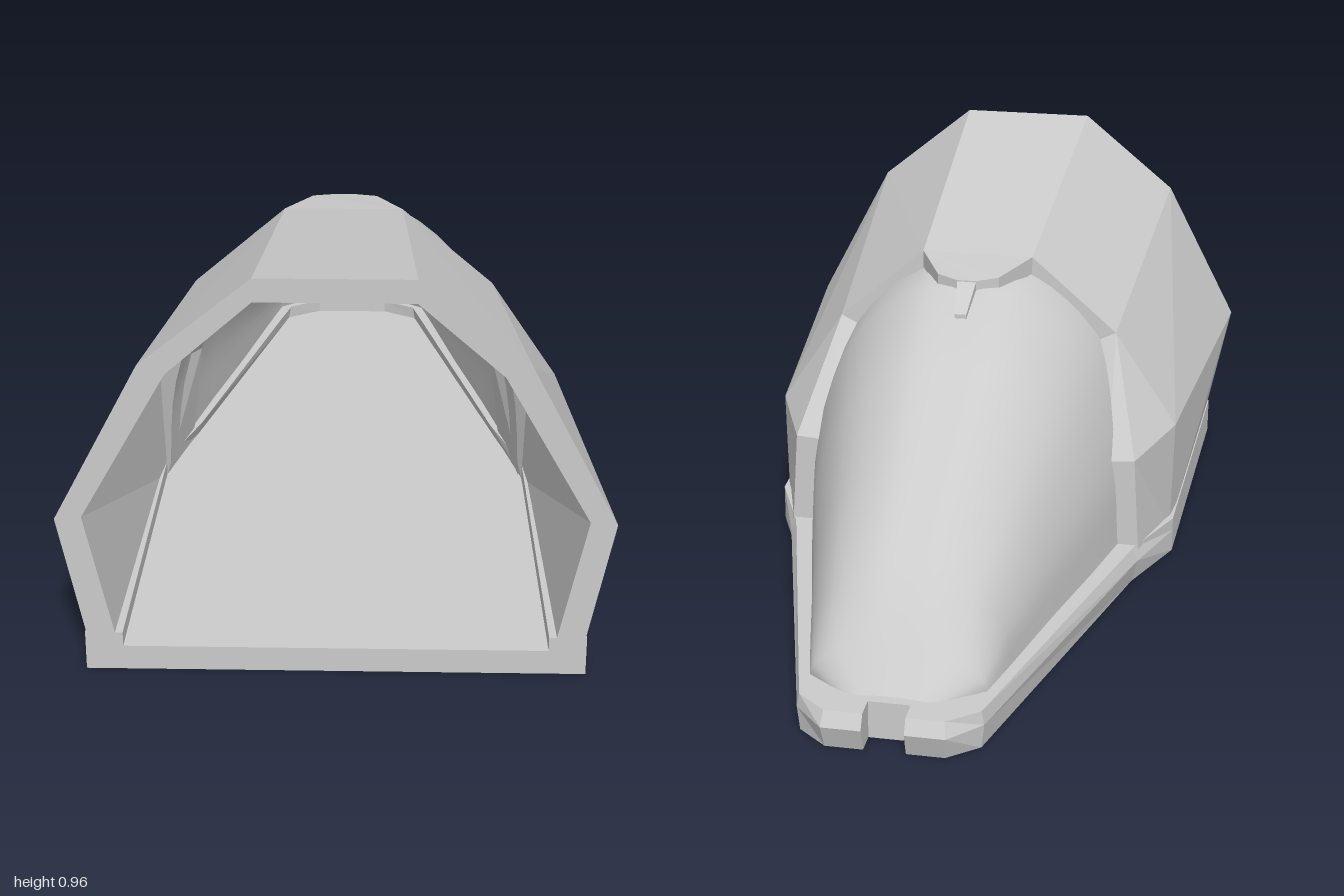
import * as THREE from 'three';

const grey = (flat) => new THREE.MeshStandardMaterial({ color: 0xcccccc, flatShading: flat, side: THREE.DoubleSide });
const mirror = (pts) => pts.map(([x, y, z]) => [-x, y, z]);

// Closed plate between an outer and an inner polygon, faces turned outward
function plate(name, outer, inner) {
  const n = outer.length;
  const o = outer.map((p) => new THREE.Vector3(...p));
  const q = inner.map((p) => new THREE.Vector3(...p));
  const mid = new THREE.Vector3();
  [...o, ...q].forEach((p) => mid.addScaledVector(p, 1 / (2 * n)));
  const out = [];
  const tri = (a, b, c) => {
    const normal = b.clone().sub(a).cross(c.clone().sub(a));
    const centre = a.clone().add(b).add(c).divideScalar(3);
    out.push(...(normal.dot(centre.sub(mid)) < 0 ? [a, c, b] : [a, b, c]));
  };
  for (let i = 1; i < n - 1; i++) {
    tri(o[0], o[i], o[i + 1]);
    tri(q[0], q[i], q[i + 1]);
  }
  for (let i = 0; i < n; i++) {
    const k = (i + 1) % n;
    tri(o[i], o[k], q[k]);
    tri(o[i], q[k], q[i]);
  }
  const geo = new THREE.BufferGeometry().setFromPoints(out);
  geo.computeVertexNormals();
  const mesh = new THREE.Mesh(geo, grey(true));
  mesh.name = name;
  return mesh;
}

// Horizontal slab from a plan outline of [x, z] points
function slab(name, plan, y, height, rule) {
  const shape = new THREE.Shape(plan.map(([x, z]) => new THREE.Vector2(x, -z)));
  const geo = new THREE.ExtrudeGeometry(shape, { depth: height, bevelEnabled: false });
  geo.rotateX(-Math.PI / 2).translate(0, y, 0);
  const p = geo.attributes.position;
  for (let i = 0; i < p.count; i++) {
    const v = rule(p.getX(i), p.getY(i), p.getZ(i));
    p.setXYZ(i, ...v);
  }
  geo.computeVertexNormals();
  const mesh = new THREE.Mesh(geo, grey(true));
  mesh.name = name;
  return mesh;
}

function createBase() {
  const group = new THREE.Group();
  group.name = 'base';
  const side = [[0.565, 1], [0.54, 0.16], [0.468, -0.04], [0.22, -0.92], [0.145, -1], [0.05, -1], [0.05, -0.925]];
  const flip = (pts) => pts.map(([x, z]) => [-x, z]).reverse();
  const outline = [...side, ...flip(side)];
  // Edges chamfer in toward the tail
  const chamfer = (edgeY) => (x, y, z) =>
    Math.abs(y - edgeY) < 0.001 && z < 0.1 ? [Math.abs(x) > 0.06 ? x * 0.97 : x, y, Math.max(z, -0.98)] : [x, y, z];
  group.add(slab('floor', outline, 0, 0.06, chamfer(0)));
  // Raised rim around the floor, open at the front
  const inner = [[0.48, 1], [0.46, 0.16], [0.4, -0.05], [0.19, -0.83], [0.1, -0.88]];
  const rim = [...side, ...flip(side), ...inner.map(([x, z]) => [-x, z]), ...inner.slice().reverse()];
  group.add(slab('rim', rim, 0.06, 0.035, chamfer(0.095)));
  return group;
}

function createHood() {
  const group = new THREE.Group();
  group.name = 'hood';
  // Half sections from sill to roof: front mouth (A), middle (B), swept side end (C)
  const ring = (pts, z) => pts.map(([x, y]) => [x, y, z]);
  const A = ring([[0.555, 0.06], [0.62, 0.385], [0.425, 0.76], [0.175, 0.965]], 1);
  const B = ring([[0.53, 0.06], [0.535, 0.36], [0.37, 0.61], [0.145, 0.805]], 0.18);
  const C = ring([[0.468, 0.06], [0.45, 0.335]], -0.02);
  const a = ring([[0.49, 0.06], [0.56, 0.39], [0.365, 0.74], [0.175, 0.91]], 1);
  const b = ring([[0.46, 0.06], [0.47, 0.36], [0.31, 0.58], [0.145, 0.745]], 0.18);
  const c = ring([[0.41, 0.06], [0.38, 0.33]], -0.02);
  const panels = [
    ['sillPanel', (P, Q) => [P[1], P[0], Q[0], Q[1]]],
    ['sidePanel', (P, Q) => [P[2], P[1], Q[1], Q[2]]],
    ['shoulderPanel', (P, Q) => [P[2], P[3], Q[3], Q[2]]],
    ['rearSidePanel', (P, Q, R) => [Q[0], Q[1], R[1], R[0]]],
    ['rearCornerPanel', (P, Q, R) => [Q[1], Q[2], R[1]]],
  ];
  for (const [name, pick] of panels) {
    const outer = pick(A, B, C), inner = pick(a, b, c);
    group.add(plate(name + 'Left', outer, inner));
    group.add(plate(name + 'Right', mirror(outer), mirror(inner)));
  }
  const across = (pts) => [...pts, ...mirror(pts).reverse()];
  group.add(plate('roofPanel', across([A[3], B[3]]), across([a[3], b[3]])));
  // Pointed roof tongue with a narrow prong
  const tongue = [B[3], [0.08, 0.79, 0.05], [0.025, 0.785, 0.025]];
  group.add(plate('roofTongue', across(tongue), across(tongue.map(([x, y, z]) => [x, y - 0.045, z]))));
  const prong = [[0.025, 0.785, 0.03], [0.015, 0.724, -0.06]];
  group.add(plate('roofProng', across(prong), across(prong.map(([x, y, z]) => [x, y - 0.06, z]))));
  return group;
}

// Smooth canopy lofted from the hood down to the tail
function createCanopy() {
  const half = [[1, 0], [0.95, 0.37], [0.73, 0.74], [0.34, 0.97]];
  const profile = [...half, [0, 1], ...half.map(([x, y]) => [-x, y]).reverse()];
  const curve = new THREE.CatmullRomCurve3(profile.map(([x, y]) => new THREE.Vector3(x, y, 0)), false, 'centripetal');
  const section = curve.getPoints(32);
  // z, half width, top height
  const stations = [[0.2, 0.45, 0.775], [0.03, 0.425, 0.763], [-0.2, 0.37, 0.635], [-0.45, 0.305, 0.49],
    [-0.7, 0.245, 0.345], [-0.83, 0.213, 0.19], [-0.905, 0.11, 0.1]];
  const foot = 0.08, n = section.length, pos = [], index = [];
  stations.forEach(([z, w, top], i) => {
    section.forEach((s, j) => {
      pos.push(s.x * w, foot + s.y * (top - foot), z);
      if (i < stations.length - 1 && j < n - 1) {
        const k = i * n + j;
        index.push(k, k + n, k + 1, k + 1, k + n, k + n + 1);
      }
    });
  });
  const geo = new THREE.BufferGeometry();
  geo.setAttribute('position', new THREE.Float32BufferAttribute(pos, 3));
  geo.setIndex(index);
  geo.computeVertexNormals();
  const mesh = new THREE.Mesh(geo, grey(false));
  mesh.name = 'canopy';
  return mesh;
}

export function createModel() {
  const model = new THREE.Group();
  model.name = 'canopyHousing';
  model.add(createBase(), createHood(), createCanopy());
  return model;
}
